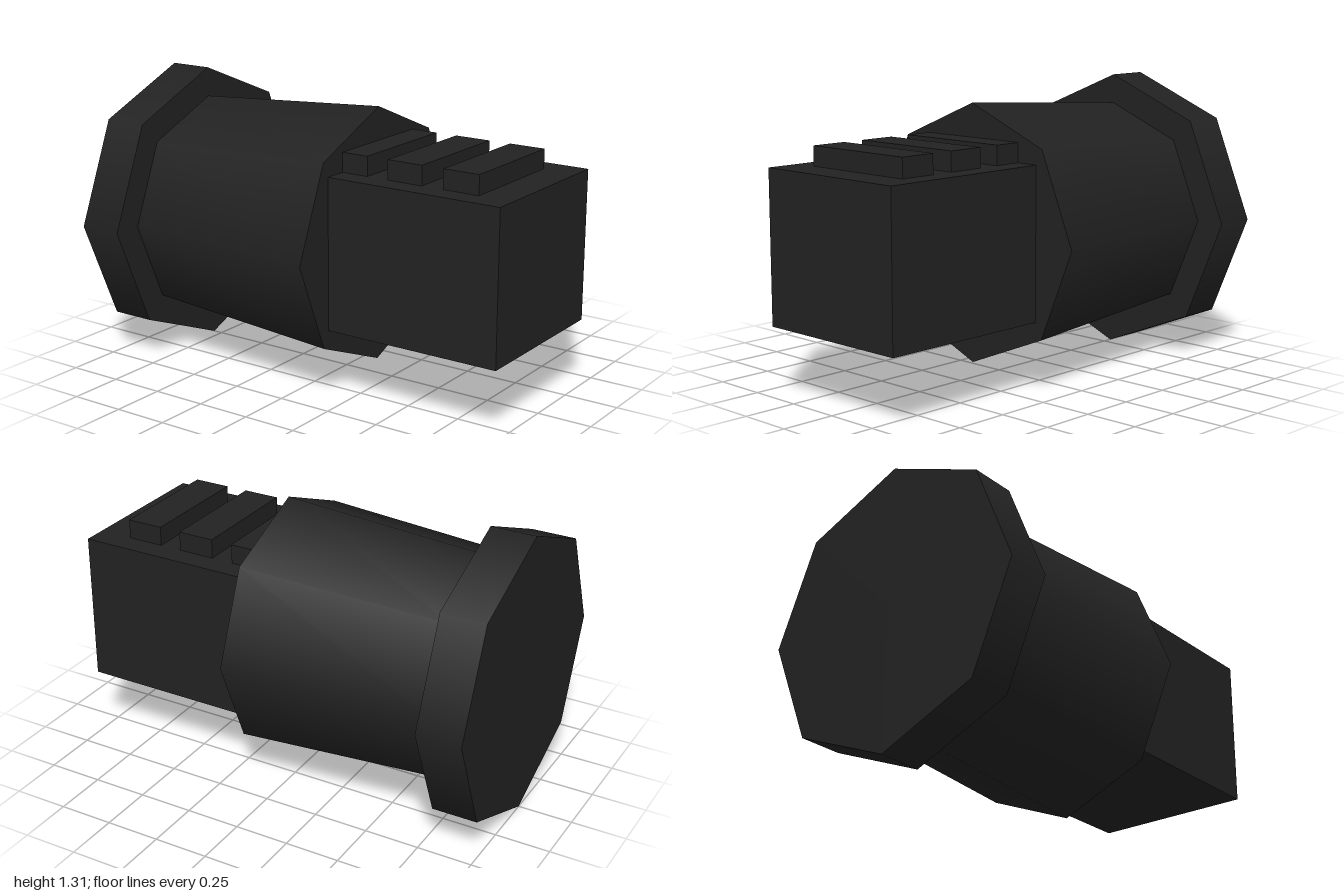
import * as THREE from 'three';

export function createModel() {
  const model = new THREE.Group();
  const black = new THREE.MeshStandardMaterial({ color: 0x222222 });
  black.name = 'matte black';
  const axisY = 0.655;

  function add(name, geometry, x, y, z) {
    const mesh = new THREE.Mesh(geometry, black);
    mesh.name = name;
    mesh.position.set(x, y, z);
    model.add(mesh);
  }

  // Eight-sided drum lying along z, with a corner pointing up
  function drum(name, frontRadius, backRadius, frontZ, backZ) {
    const geometry = new THREE.CylinderGeometry(frontRadius, backRadius, frontZ - backZ, 8);
    geometry.rotateX(Math.PI / 2);
    add(name, geometry, 0, axisY, (frontZ + backZ) / 2);
  }

  // Wide rear flange and tapered barrel
  drum('rearFlange', 0.655, 0.655, -0.795, -1);
  drum('barrel', 0.585, 0.52, 0.17, -0.795);

  // Square block projecting from the barrel
  add('frontBlock', new THREE.BoxGeometry(0.76, 0.685, 0.83), 0, 0.6575, 0.585);

  // Raised grip ribs, the last one partly sunk into the barrel
  for (let i = 0; i < 3; i++) {
    add('gripRib', new THREE.BoxGeometry(0.55, 0.09, 0.17), 0, 1.043, 0.757 - i * 0.272);
  }

  return model;
}
